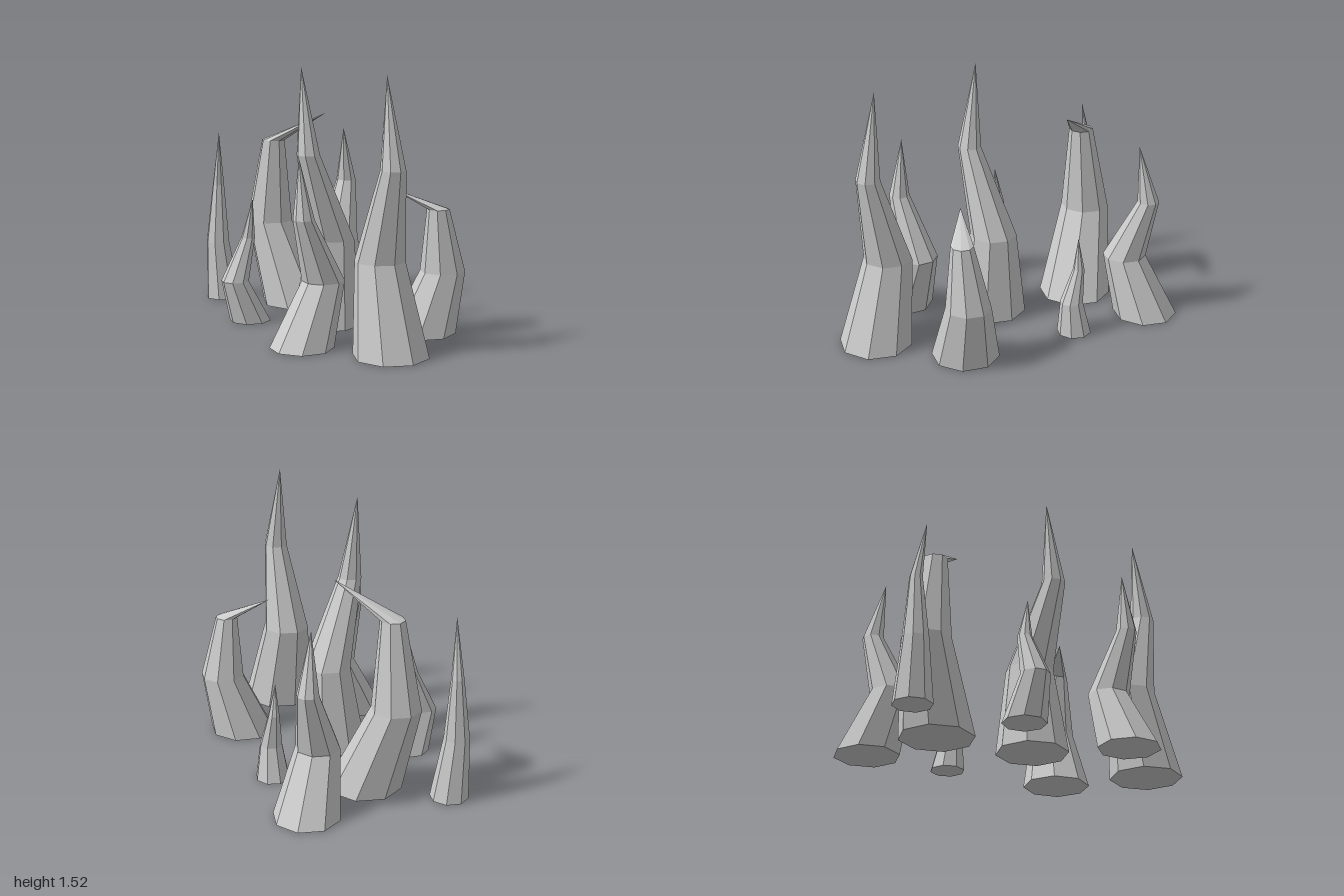
import * as THREE from 'three';

const material = new THREE.MeshStandardMaterial({ color: 0xcccccc, flatShading: true });

// Each spike: base radius, turn in degrees, then [x, y, z] centres of base, two rings and tip
const SPIKES = [
  { name: 'frontTallSpike', r: 0.213, turn: 8, path: [[-0.02, 0, 0.787], [-0.04, 0.51, 0.685], [-0.02, 1.02, 0.8], [-0.03, 1.52, 0.74]] },
  { name: 'middleTallSpike', r: 0.208, turn: 8, path: [[-0.06, 0, 0], [-0.03, 0.51, 0], [-0.2, 1.02, 0.065], [-0.22, 1.52, 0.01]] },
  { name: 'backHookedSpike', r: 0.215, turn: 8, path: [[-0.015, 0, -0.57], [-0.14, 0.51, -0.71], [-0.13, 1.02, -0.665], [0.11, 1.2, -0.41]] },
  { name: 'frontLeftHookedSpike', r: 0.195, turn: 12, path: [[0.365, 0, 0.403], [0.475, 0.36, 0.44], [0.435, 0.725, 0.455], [0.2, 0.84, 0.34]] },
  { name: 'frontRightSpike', r: 0.18, turn: 23, path: [[-0.395, 0, 0.43], [-0.25, 0.36, 0.395], [-0.385, 0.72, 0.44], [-0.4, 1.06, 0.41]] },
  { name: 'backLeftSpike', r: 0.19, turn: 8, path: [[0.43, 0, -0.79], [0.325, 0.36, -0.7], [0.42, 0.72, -0.79], [0.38, 1.06, -0.74]] },
  { name: 'backRightThinSpike', r: 0.11, turn: 10, path: [[-0.39, 0, -0.89], [-0.42, 0.36, -0.9], [-0.41, 0.72, -0.905], [-0.42, 1.06, -0.855]] },
  { name: 'rightSmallSpike', r: 0.123, turn: 15, path: [[-0.443, 0, -0.262], [-0.54, 0.25, -0.25], [-0.45, 0.5, -0.265], [-0.43, 0.735, -0.235]] },
  { name: 'leftSmallSpike', r: 0.1, turn: 5, path: [[0.432, 0, -0.285], [0.432, 0.2, -0.265], [0.43, 0.4, -0.31], [0.42, 0.59, -0.31]] },
];

// Bend an eight-sided cone by carrying each of its rings to a point of the path
function bentSpike({ name, r, turn, path }) {
  const geometry = new THREE.ConeGeometry(r, 3, 8, 3, false, THREE.MathUtils.degToRad(turn));
  const pos = geometry.attributes.position;
  for (let i = 0; i < pos.count; i++) {
    const [x, y, z] = path[Math.round(pos.getY(i) + 1.5)];
    pos.setXYZ(i, pos.getX(i) + x, y, pos.getZ(i) + z);
  }
  geometry.computeVertexNormals();
  const mesh = new THREE.Mesh(geometry, material);
  mesh.name = name;
  return mesh;
}

export function createModel() {
  const group = new THREE.Group();
  group.name = 'spikeCluster';
  SPIKES.forEach((spike) => group.add(bentSpike(spike)));
  return group;
}
